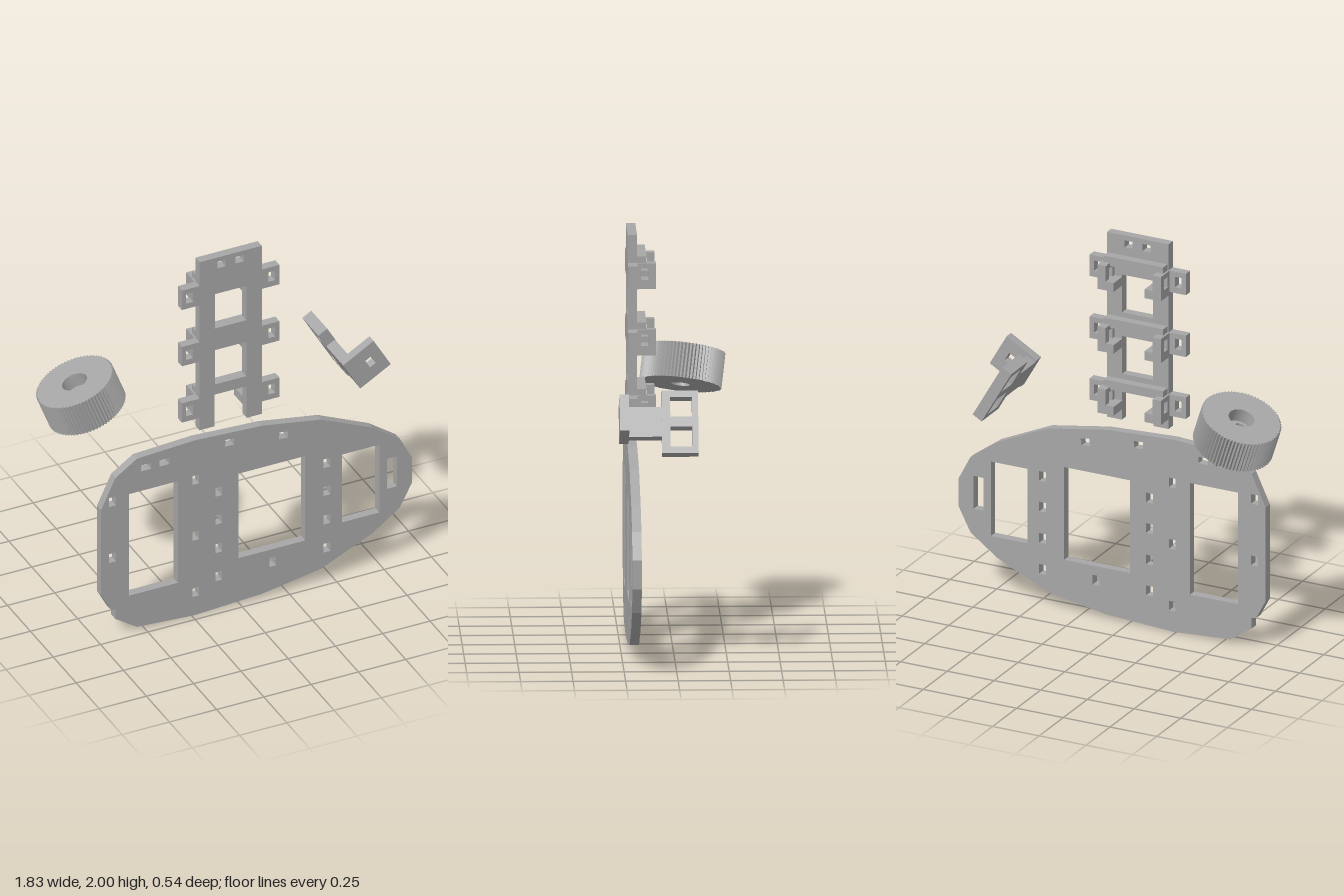
import * as THREE from 'three';

const grey = new THREE.MeshStandardMaterial({ color: 0xa6a6a6 });
grey.name = 'printed grey';

// Corner points of a rectangle given by centre, size and rotation in degrees
function rect([cx, cy, w, h, deg = 0]) {
  const a = THREE.MathUtils.degToRad(deg), c = Math.cos(a), s = Math.sin(a);
  return [[-1, -1], [1, -1], [1, 1], [-1, 1]].map(([i, j]) => {
    const x = i * w / 2, y = j * h / 2;
    return new THREE.Vector2(cx + x * c - y * s, cy + x * s + y * c);
  });
}

// Flat panel with rectangular cut-outs
function panel(name, points, holes, depth) {
  const shape = new THREE.Shape(points.map(p => (p.isVector2 ? p : new THREE.Vector2(...p))));
  holes.forEach(h => shape.holes.push(new THREE.Path(rect(h))));
  const mesh = new THREE.Mesh(new THREE.ExtrudeGeometry(shape, { depth, bevelEnabled: false }), grey);
  mesh.name = name;
  return mesh;
}

// Box given by its limits on each axis
function box(name, x0, x1, y0, y1, z0, z1) {
  const mesh = new THREE.Mesh(new THREE.BoxGeometry(x1 - x0, y1 - y0, z1 - z0), grey);
  mesh.position.set((x0 + x1) / 2, (y0 + y1) / 2, (z0 + z1) / 2);
  mesh.name = name;
  return mesh;
}

const BACK = 0.17, THICK = 0.045;

function chassis() {
  const outline = [
    [-0.73, 0.255], [-0.68, 0.16], [-0.655, 0.155], [-0.655, 0.1], [-0.54, 0.022], [-0.235, 0.002],
    [0.12, 0.022], [0.435, 0.075], [0.705, 0.2], [0.85, 0.305], [0.915, 0.43], [0.915, 0.57],
    [0.85, 0.695], [0.705, 0.8], [0.435, 0.923], [0.12, 0.977], [-0.235, 0.995], [-0.54, 0.978],
    [-0.655, 0.9], [-0.73, 0.74],
  ];
  const holes = [
    [-0.453, 0.5, 0.257, 0.577], [0.173, 0.5, 0.353, 0.48],
    [0.643, 0.5, 0.196, 0.385], [0.808, 0.515, 0.053, 0.17],
    [-0.492, 0.916, 0.053, 0.034], [-0.396, 0.916, 0.053, 0.034],
    [-0.05, 0.931, 0.047, 0.036, -3], [0.235, 0.891, 0.047, 0.036, -9],
    [0.178, 0.188, 0.036, 0.05],
  ];
  // Mounting slots in columns
  for (const y of [0.77, 0.452]) holes.push([-0.67, y, 0.036, 0.05]);
  for (const y of [0.77, 0.452, 0.133]) holes.push([-0.23, y, 0.036, 0.05]);
  for (const x of [-0.108, 0.465])
    for (const y of [0.668, 0.51, 0.348, 0.188]) holes.push([x, y, 0.036, 0.05]);
  const mesh = panel('chassisPlate', outline, holes, THICK);
  mesh.position.z = BACK;
  return mesh;
}

function tower() {
  const group = new THREE.Group();
  group.name = 'sensorTower';
  const mid = -0.045, levels = [1.81, 1.49, 1.17];

  // One half of the outline, from the notch up to the top; then mirrored
  const right = [[0.085, 1.225], [0.085, 1.045], [0.165, 1.045]];
  [...levels].reverse().forEach(y => right.push(
    [0.165, y - 0.055], [0.258, y - 0.055], [0.258, y + 0.055], [0.165, y + 0.055]));
  right.push([0.165, 2]);
  const left = right.map(([x, y]) => [-x, y]).reverse();
  const outline = [...right, ...left].map(([x, y]) => [x + mid, y]);
  const holes = [[mid, 1.698, 0.166, 0.195], [mid, 1.38, 0.166, 0.195],
    [-0.093, 1.957, 0.043, 0.036], [0.003, 1.957, 0.043, 0.036]];
  for (const y of levels)
    for (const s of [-1, 1]) holes.push([mid + s * 0.217, y + 0.002, 0.036, 0.054]);
  const plate = panel('towerPlate', outline, holes, THICK);
  plate.position.z = BACK;
  group.add(plate);

  // Cross bar and a pair of slotted lugs behind each level
  for (const y of levels) {
    group.add(box('crossBar', -0.205, 0.115, y + 0.04, y + 0.086, 0.125, BACK));
    for (const s of [-1, 1]) {
      const lug = panel('slottedLug', rect([-0.125, y - 0.008, 0.09, 0.125]),
        [[-0.133, y + 0.002, 0.036, 0.055]], THICK);
      lug.rotation.y = Math.PI / 2;
      lug.position.x = s < 0 ? -0.215 : 0.08;
      group.add(lug);
      const inner = s < 0 ? -0.17 : 0.037;
      group.add(box('lugLedge', inner, inner + 0.043, y - 0.07, y - 0.025, 0.08, BACK));
    }
  }
  return group;
}

function wheel() {
  const group = new THREE.Group();
  group.name = 'wheel';
  const teeth = 72, half = 0.085;
  // Ribbed disc slices: narrow flat-sided bore below, wide hub recess above
  const slice = (name, z, depth, bore, flat) => {
    const pts = [];
    for (let i = 0; i < teeth * 2; i++) {
      const a = i * Math.PI / teeth, r = i % 2 ? 0.188 : 0.197;
      pts.push([r * Math.cos(a), r * Math.sin(a)]);
    }
    const mesh = panel(name, pts, [], depth);
    const shape = new THREE.Shape(pts.map(p => new THREE.Vector2(...p)));
    const hole = new THREE.Path();
    hole.absarc(0, 0, bore, flat, Math.PI * 2 - flat, false);
    hole.closePath();
    shape.holes.push(hole);
    mesh.geometry = new THREE.ExtrudeGeometry(shape, { depth, bevelEnabled: false, curveSegments: 32 });
    mesh.position.z = z;
    group.add(mesh);
  };
  slice('wheelLower', -half, 0.1, 0.046, 0.7);
  slice('wheelUpper', -half + 0.1, 0.07, 0.063, 0);
  const axis = new THREE.Vector3(-0.34, 0.932, -0.12).normalize();
  group.quaternion.setFromUnitVectors(new THREE.Vector3(0, 0, 1), axis);
  group.position.set(-0.7, 1.217, -0.068);
  return group;
}

function bracket() {
  const group = new THREE.Group();
  group.name = 'motorBracket';
  // Front mounting plate
  const plate = panel('bracketPlate', rect([0.093, 0, 0.186, 0.182]), [[0.115, 0, 0.036, 0.05]], THICK);
  plate.position.z = 0.225;
  group.add(plate);
  // Arm reaching back to the frame
  group.add(box('bracketArm', 0, 0.053, -0.075, 0.075, 0.067, 0.225));
  // Frame with two windows
  const frame = panel('bracketFrame', rect([0.02, 0, 0.174, 0.316]),
    [[0.026, 0.075, 0.104, 0.1], [0.026, -0.075, 0.104, 0.1]], 0.055);
  frame.rotation.y = Math.PI / 2;
  group.add(frame);
  group.rotation.z = Math.PI / 6;
  group.position.set(0.569, 1.159, 0);
  return group;
}

export function createModel() {
  const model = new THREE.Group();
  model.name = 'robotKit';
  model.add(chassis(), tower(), wheel(), bracket());
  return model;
}
